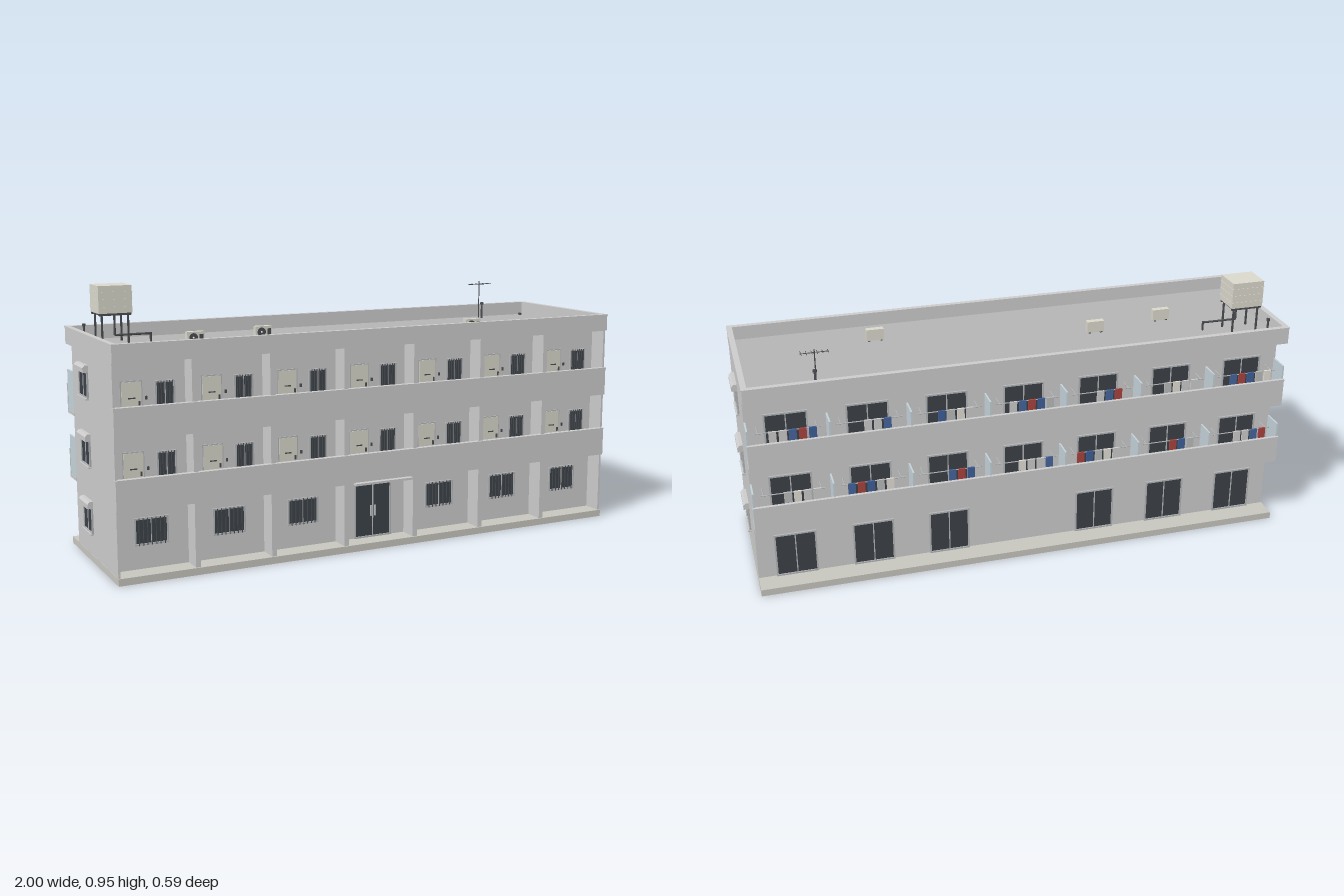
import * as THREE from 'three';

const GREY = 0xcccccc, GLASS = 0x3c4248, FRAME = 0xb4b6b8, CREAM = 0xdad8cc, DARK = 0x4a4c50, FROST = 0xc3d2d8;
const materials = {};
const mat = (color) => (materials[color] ??= new THREE.MeshStandardMaterial({ color }));

function add(parent, name, geometry, color, x, y, z) {
  const mesh = new THREE.Mesh(geometry, mat(color));
  mesh.name = name;
  mesh.position.set(x, y, z);
  parent.add(mesh);
  return mesh;
}

// Box given by its [min, max] range on each axis
function box(parent, name, [x0, x1], [y0, y1], [z0, z1], color = GREY) {
  return add(parent, name, new THREE.BoxGeometry(x1 - x0, y1 - y0, z1 - z0), color,
    (x0 + x1) / 2, (y0 + y1) / 2, (z0 + z1) / 2);
}

// Round rod between two points
function rod(parent, name, a, b, r, color = DARK) {
  const p = new THREE.Vector3(...a), q = new THREE.Vector3(...b);
  const mid = p.clone().add(q).multiplyScalar(0.5);
  const mesh = add(parent, name, new THREE.CylinderGeometry(r, r, p.distanceTo(q), 8), color, mid.x, mid.y, mid.z);
  mesh.quaternion.setFromUnitVectors(new THREE.Vector3(0, 1, 0), q.sub(p).normalize());
}

function group(parent, name, x = 0, y = 0, z = 0, turn = 0) {
  const g = new THREE.Group();
  g.name = name;
  g.position.set(x, y, z);
  g.rotation.y = turn;
  parent.add(g);
  return g;
}

// Glazed opening facing +z, standing on its origin: frame, two panes, optional bars
function glazing(parent, name, w, h, bars = 0) {
  const t = 0.006, d = 0.006;
  for (const s of [-1, 1]) {
    const x = s * (w - t) / 2;
    box(parent, name + 'Jamb', [x - t / 2, x + t / 2], [0, h], [0, d], FRAME);
  }
  box(parent, name + 'Sill', [-w / 2, w / 2], [0, t], [0, d + 0.001], FRAME);
  box(parent, name + 'Head', [-w / 2, w / 2], [h - t, h], [0, d + 0.001], FRAME);
  box(parent, name + 'Pane', [-w / 2 + t, w / 2 - t], [t, h - t], [0, 0.003], GLASS);
  box(parent, name + 'Mullion', [-0.002, 0.002], [t, h - t], [0, 0.005], FRAME);
  for (let i = 1; i <= bars; i++) {
    const x = -w / 2 + (w * i) / (bars + 1);
    box(parent, name + 'Bar', [x - 0.0012, x + 0.0012], [0, h], [0.008, 0.011], DARK);
  }
}

const W = 0.98, BAY = 0.28, FLOORS = [0.025, 0.262, 0.5];
const bays = [-3, -2, -1, 0, 1, 2, 3].map((i) => i * BAY);

function addShell(root) {
  const g = group(root, 'shell');
  box(g, 'baseSlab', [-W, W], [0, 0.025], [-0.293, 0.276], 0xc6c5be);
  box(g, 'core', [-W + 0.001, W - 0.001], [0.025, 0.74], [-0.212, 0.2]);
  // Fins between the bays, with the end walls
  for (let i = 0; i <= 7; i++) {
    const x = (i - 3.5) * BAY, t = 0.009;
    const x0 = i === 0 ? -W + 0.001 : x - t, x1 = i === 7 ? W - 0.001 : x + t;
    box(g, 'frontFin', [x0, x1], [0.025, 0.74], [0.199, 0.27]);
  }
  for (const y of [0.25, 0.488]) {
    // Corridor and balcony floors with their parapets
    box(g, 'corridorFloor', [-W + 0.002, W - 0.002], [y, y + 0.013], [0.199, 0.268]);
    box(g, 'corridorParapet', [-W, W], [y, y + 0.103], [0.262, 0.278]);
    box(g, 'corridorParapetCap', [-W - 0.001, W + 0.001], [y + 0.101, y + 0.106], [0.26, 0.28]);
    box(g, 'balconyFloor', [-W, W], [y, y + 0.013], [-0.29, -0.211]);
    box(g, 'balconyParapet', [-W, W], [y, y + 0.103], [-0.293, -0.285]);
    box(g, 'balconyParapetCap', [-W - 0.001, W + 0.001], [y + 0.101, y + 0.106], [-0.295, -0.283]);
  }
  // Roof deck and parapet
  box(g, 'roofDeck', [-W + 0.01, W - 0.01], [0.737, 0.75], [-0.285, 0.27], 0xb4b4b4);
  for (const [z0, z1] of [[-0.293, -0.277], [0.262, 0.278]]) {
    box(g, 'roofParapet', [-W, W], [0.738, 0.797], [z0, z1]);
    box(g, 'roofCap', [-W - 0.002, W + 0.002], [0.797, 0.801], [z0 - 0.002, z1 + 0.002]);
  }
  for (const s of [-1, 1]) {
    const x = s * (W - 0.008);
    box(g, 'roofParapetEnd', [x - 0.008, x + 0.008], [0.738, 0.797], [-0.278, 0.263]);
    box(g, 'roofCapEnd', [x - 0.01, x + 0.01], [0.797, 0.801], [-0.276, 0.261]);
  }
}

function addFront(root) {
  for (const x of bays) {
    if (x) glazing(group(root, 'groundWindow', x, 0.108, 0.2), 'window', 0.12, 0.095, 7);
    for (const y of FLOORS.slice(1)) {
      // Flat entrance: door with handle, letter slot, meter and barred window
      const g = group(root, 'flatFront', x, y, 0.2);
      box(g, 'doorFrame', [-0.094, -0.018], [0, 0.168], [0, 0.004], FRAME);
      box(g, 'door', [-0.09, -0.022], [0, 0.164], [0, 0.006], CREAM);
      box(g, 'doorHandle', [-0.033, -0.028], [0.085, 0.1], [0.006, 0.011], DARK);
      box(g, 'letterSlot', [-0.068, -0.044], [0.108, 0.112], [0.006, 0.008], DARK);
      box(g, 'doorbell', [-0.008, -0.002], [0.102, 0.114], [0, 0.005], DARK);
      glazing(group(g, 'flatWindow', 0.06, 0.07, 0), 'window', 0.07, 0.092, 6);
    }
  }
  // Main entrance with canopy
  const e = group(root, 'entrance', 0, 0.025, 0.2);
  glazing(e, 'entranceDoor', 0.15, 0.21);
  for (const s of [-1, 1]) box(e, 'entranceHandle', [s * 0.008 - 0.002, s * 0.008 + 0.002], [0.08, 0.12], [0.003, 0.01], FRAME);
  box(root, 'canopy', [-0.115, 0.115], [0.247, 0.255], [0.2, 0.299]);
}

function addBack(root) {
  const cloth = [0xd8d8d4, 0xa8443e, 0xe0ded4, 0x46659c, 0xb9bcbc, 0xd8d8d4, 0x3f5f98];
  FLOORS.forEach((y, f) => bays.forEach((x, b) => {
    if (f === 0 && b === 3) return;
    glazing(group(root, 'balconyDoor', x, y, -0.212, Math.PI), 'glassDoor', 0.15, 0.168);
    if (f === 0) return;
    // Washing on a pole
    const g = group(root, 'laundry', x, y, -0.262);
    rod(g, 'pole', [-0.115, 0.122, 0], [0.115, 0.122, 0], 0.002, FRAME);
    for (const s of [-0.1, 0.1]) rod(g, 'poleArm', [s, 0.122, 0], [s, 0.122, 0.05], 0.002, FRAME);
    const count = 3 + ((b * 2 + f) % 3);
    for (let i = 0; i < count; i++) {
      const cx = -0.085 + i * 0.034 + (b % 3) * 0.012, drop = 0.04 + ((i * 3 + b) % 3) * 0.009;
      box(g, 'cloth', [cx - 0.013, cx + 0.013], [0.124 - drop, 0.124], [-0.0035, 0.0035], cloth[(i * 2 + b * 3 + f) % 7]);
    }
  }));
  // Frosted screens between the balconies and at both ends
  for (const y of FLOORS.slice(1)) for (let i = 0; i <= 7; i++) {
    const x = THREE.MathUtils.clamp((i - 3.5) * BAY, -W + 0.004, W - 0.004);
    box(root, 'balconyScreen', [x - 0.003, x + 0.003], [y, y + 0.146], [-0.286, -0.211], FROST);
  }
}

function addSides(root) {
  for (const s of [-1, 1]) for (const y of FLOORS) {
    const g = group(root, 'sideWindow', s * (W - 0.001), y + 0.08, s > 0 ? 0.041 : -0.062, s * Math.PI / 2);
    glazing(g, 'window', 0.106, 0.094);
    box(g, 'windowSill', [-0.055, 0.055], [-0.004, 0.002], [0, 0.012]);
    // Hood with a sloping front
    const p = new THREE.Shape([[0, 0.092], [0.02, 0.092], [0.02, 0.108], [0.012, 0.117], [0, 0.117]]
      .map(([a, b]) => new THREE.Vector2(a, b)));
    const hood = add(g, 'windowHood', new THREE.ExtrudeGeometry(p, { depth: 0.11, bevelEnabled: false }), GREY, 0.055, 0, 0);
    hood.rotation.y = -Math.PI / 2;
  }
}

function addRoofItems(root) {
  // Water tank on legs
  const t = group(root, 'waterTank', -0.85, 0.75, -0.15);
  box(t, 'tankBody', [-0.06, 0.06], [0.108, 0.204], [-0.052, 0.052], CREAM);
  for (const y of [0.13, 0.156, 0.182]) box(t, 'tankRib', [-0.0615, 0.0615], [y - 0.001, y + 0.001], [-0.0535, 0.0535], CREAM);
  for (const s of [-1, 1]) {
    box(t, 'standBeam', [-0.058, 0.058], [0.1, 0.108], [s * 0.045 - 0.004, s * 0.045 + 0.004], DARK);
    box(t, 'standCrossBeam', [s * 0.05 - 0.004, s * 0.05 + 0.004], [0.101, 0.107], [-0.05, 0.05], DARK);
    for (const u of [-1, 1]) box(t, 'standLeg', [s * 0.047 - 0.003, s * 0.047 + 0.003], [0, 0.103],
      [u * 0.042 - 0.003, u * 0.042 + 0.003], DARK);
  }
  rod(t, 'downPipe', [0, 0.03, 0.034], [0, 0.11, 0.034], 0.004);
  rod(t, 'outletPipe', [0, 0.03, 0.034], [0.13, 0.03, 0.034], 0.004);
  rod(t, 'pipeEnd', [0.13, 0, 0.034], [0.13, 0.034, 0.034], 0.004);

  // Cooling units with a round fan
  for (const [x, z] of [[-0.605, 0.021], [-0.33, -0.024], [0.465, 0.122]]) {
    const g = group(root, 'coolingUnit', x, 0.75, z);
    box(g, 'unitCase', [-0.032, 0.032], [0.003, 0.045], [-0.011, 0.011], CREAM);
    for (const s of [-0.022, 0.022]) box(g, 'unitFoot', [s - 0.004, s + 0.004], [0, 0.004], [-0.011, 0.011], DARK);
    const fan = add(g, 'fan', new THREE.CylinderGeometry(0.016, 0.016, 0.003, 20), DARK, -0.009, 0.024, 0.011);
    fan.rotation.x = Math.PI / 2;
    add(g, 'fanHub', new THREE.SphereGeometry(0.004, 10, 6), CREAM, -0.009, 0.024, 0.012);
    box(g, 'unitVent', [0.013, 0.027], [0.012, 0.036], [0.01, 0.0125], DARK);
  }

  // Vent pipes and drains
  for (const [x, z] of [[-0.93, -0.222], [0.73, -0.222]]) {
    rod(root, 'ventPipe', [x, 0.75, z], [x, 0.808, z], 0.004);
    rod(root, 'ventCap', [x, 0.805, z], [x, 0.814, z], 0.007);
  }
  for (const x of [-0.942, 0.942]) rod(root, 'roofDrain', [x, 0.75, -0.256], [x, 0.757, -0.256], 0.008);

  // Aerial
  const a = group(root, 'aerial', 0.73, 0.75, -0.246);
  rod(a, 'mast', [0, 0, 0], [0, 0.149, 0], 0.002);
  rod(a, 'boom', [-0.048, 0.137, 0], [0.048, 0.137, 0], 0.0015);
  for (let i = 0; i < 6; i++) {
    const x = -0.045 + i * 0.018, r = 0.012 + i * 0.0013;
    rod(a, 'element', [x, 0.138, -r], [x, 0.138, r], 0.001);
  }
}

export function createModel() {
  const root = new THREE.Group();
  root.name = 'apartmentBlock';
  addShell(root);
  addFront(root);
  addBack(root);
  addSides(root);
  addRoofItems(root);
  return root;
}
